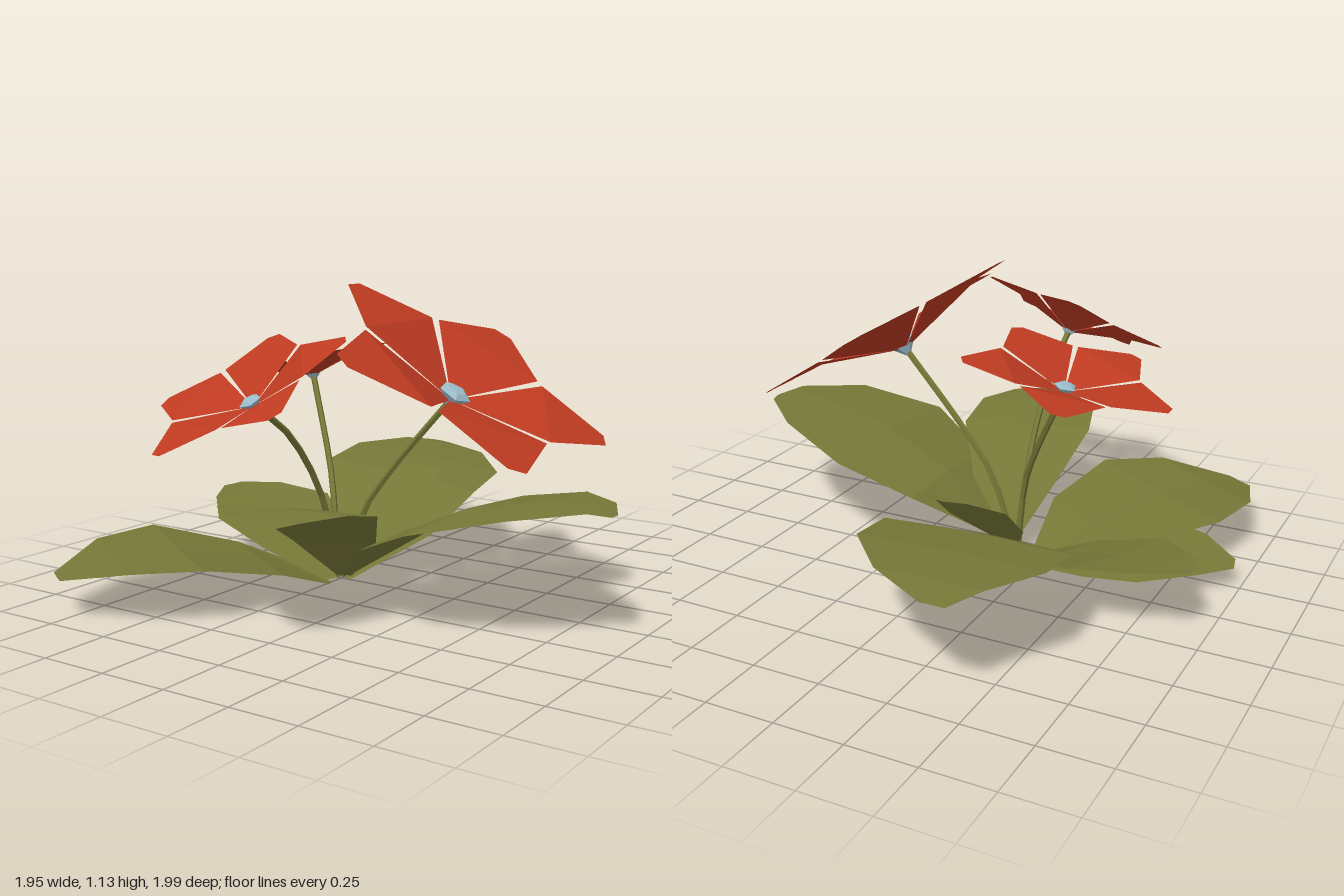
import * as THREE from 'three';

const mat = (name, color) => new THREE.MeshStandardMaterial({ name, color, flatShading: true, side: THREE.DoubleSide });

// Faceted surface from rows of points of equal length
function sheet(rows) {
  const n = rows[0].length, index = [];
  for (let i = 0; i < rows.length - 1; i++) {
    for (let j = 0; j < n - 1; j++) {
      const a = i * n + j, b = a + 1, c = a + n, d = c + 1;
      index.push(a, b, c, b, d, c);
    }
  }
  const g = new THREE.BufferGeometry();
  g.setAttribute('position', new THREE.Float32BufferAttribute(rows.flat(2), 3));
  g.setIndex(index);
  const flat = g.toNonIndexed();
  flat.computeVertexNormals();
  return flat;
}

// Leaf along a midrib; each station is [x, y, z, half width].
// heading sets the direction across, fold lifts both edges, tilt drops the right-hand edge.
function leafGeometry({ heading: [dx, dz], fold, tilt, stations }) {
  const len = Math.hypot(dx, dz);
  return sheet(stations.map(([x, y, z, w]) => {
    const sx = (-dz / len) * w, sz = (dx / len) * w;
    return [
      [x - sx, y + (fold + tilt) * w, z - sz],
      [x, y, z],
      [x + sx, y + (fold - tilt) * w, z + sz],
    ];
  }));
}

// Petal pointing along +x: a rising inner triangle, then a level outer tip
function petalGeometry() {
  const a = 0.59, r = 0.375, h = 0.1;
  const cx = r * Math.cos(a), cz = r * Math.sin(a);
  return sheet([
    [[0.03, 0.005, 0.02], [0.03, 0.005, -0.02]],
    [[cx, h, cz], [cx, h, -cz]],
    [[0.542, h, 0.035], [0.542, h, -0.035]],
  ]);
}

export function createModel() {
  const model = new THREE.Group();
  model.name = 'floweringPlant';
  const green = mat('leafGreen', 0x757737);
  const red = mat('petalRed', 0xbd3a21);
  const blue = mat('centreBlue', 0x9abbca);

  const add = (parent, name, geometry, material) => {
    const mesh = new THREE.Mesh(geometry, material);
    mesh.name = name;
    parent.add(mesh);
    return mesh;
  };

  // Leaves
  const leaves = {
    backLeaf: { heading: [0.08, -1], fold: -0.03, tilt: 0.06, stations: [
      [-0.15, 0.05, 0.12, 0.03], [-0.17, 0.21, -0.15, 0.24], [-0.26, 0.345, -0.42, 0.37],
      [-0.275, 0.38, -0.645, 0.36], [-0.32, 0.39, -0.865, 0.2], [-0.405, 0.375, -0.99, 0.045]] },
    leftLeaf: { heading: [1, 0.05], fold: -0.06, tilt: 0, stations: [
      [-0.12, 0.07, 0.14, 0.03], [0.15, 0.28, 0.17, 0.27], [0.42, 0.4, 0.2, 0.37],
      [0.73, 0.467, 0.22, 0.27], [0.92, 0.473, 0.22, 0.1], [0.97, 0.45, 0.23, 0.02]] },
    frontLeaf: { heading: [0.2, 0.73], fold: -0.04, tilt: 0, stations: [
      [-0.13, 0.07, 0.15, 0.03], [-0.07, 0.24, 0.3, 0.16], [-0.03, 0.4, 0.5, 0.25],
      [0, 0.44, 0.68, 0.23], [0.04, 0.435, 0.82, 0.12], [0.06, 0.42, 0.88, 0.04]] },
    frontRightLeaf: { heading: [-0.54, 0.84], fold: 0.03, tilt: 0, stations: [
      [-0.25, 0.003, 0.08, 0.03], [-0.4, 0.12, 0.3, 0.26], [-0.58, 0.19, 0.55, 0.36],
      [-0.7, 0.185, 0.75, 0.27], [-0.8, 0.14, 0.92, 0.06]] },
    backRightLeaf: { heading: [-0.92, -0.38], fold: 0.03, tilt: -0.08, stations: [
      [-0.22, 0.03, 0.1, 0.03], [-0.42, 0.13, 0, 0.18], [-0.65, 0.21, -0.1, 0.25],
      [-0.84, 0.245, -0.17, 0.15], [-0.95, 0.255, -0.2, 0.04]] },
    lowRightLeaf: { heading: [-1, 0.2], fold: 0.03, tilt: 0.18, stations: [
      [-0.24, 0.01, 0.1, 0.03], [-0.45, 0.06, 0.16, 0.15], [-0.65, 0.1, 0.22, 0.22],
      [-0.85, 0.1, 0.26, 0.13], [-0.97, 0.085, 0.27, 0.03]] },
    smallBackLeaf: { heading: [0.1, -1], fold: 0.03, tilt: 0, stations: [
      [-0.15, 0.06, 0.1, 0.03], [-0.12, 0.2, -0.05, 0.16], [-0.12, 0.33, -0.2, 0.16],
      [-0.1, 0.4, -0.33, 0.09], [-0.09, 0.41, -0.37, 0.03]] },
  };
  for (const [name, leaf] of Object.entries(leaves)) {
    add(model, name, leafGeometry(leaf), green);
  }

  // Flowers: hub position, facing, direction of one petal, size and stem path
  const flowers = [
    { name: 'largeFlower', hub: [0.325, 0.76, 0.15], facing: [0.537, 0.844, 0], petal: [-0.844, 0.537, 0], size: 1,
      stem: [[-0.15, 0.06, 0.13], [-0.05, 0.32, 0.135], [0.07, 0.48, 0.14]] },
    { name: 'rightFlower', hub: [-0.425, 0.767, -0.07], facing: [-0.215, 0.977, 0], petal: [-0.977, -0.215, 0], size: 0.69,
      stem: [[-0.17, 0.06, 0.13], [-0.2, 0.3, 0.11], [-0.25, 0.43, 0.06]] },
    { name: 'frontFlower', hub: [-0.14, 0.76, 0.645], facing: [-0.21, 0.868, 0.45], petal: [-0.366, -0.077, -0.024], size: 0.69,
      stem: [[-0.16, 0.06, 0.14], [-0.165, 0.3, 0.2], [-0.16, 0.48, 0.3], [-0.15, 0.65, 0.46]] },
  ];
  const petal = petalGeometry();
  const centre = new THREE.LatheGeometry(
    [[0, -0.04], [0.06, 0.026], [0.035, 0.04], [0, 0.042]].map(([x, y]) => new THREE.Vector2(x, y)), 5);

  for (const f of flowers) {
    const flower = new THREE.Group();
    flower.name = f.name;
    const up = new THREE.Vector3(...f.facing).normalize();
    const out = new THREE.Vector3(...f.petal).projectOnPlane(up).normalize();
    const side = new THREE.Vector3().crossVectors(out, up);
    flower.quaternion.setFromRotationMatrix(new THREE.Matrix4().makeBasis(out, up, side));
    flower.position.set(...f.hub);
    flower.scale.setScalar(f.size);
    for (let i = 0; i < 5; i++) {
      add(flower, 'petal', petal, red).rotation.y = (i * Math.PI * 2) / 5;
    }
    add(flower, 'flowerCentre', centre, blue);
    model.add(flower);

    // Stem
    const path = new THREE.CatmullRomCurve3([...f.stem, f.hub].map((p) => new THREE.Vector3(...p)));
    add(model, 'stem', new THREE.TubeGeometry(path, 8, 0.012, 5), green);
  }
  return model;
}
